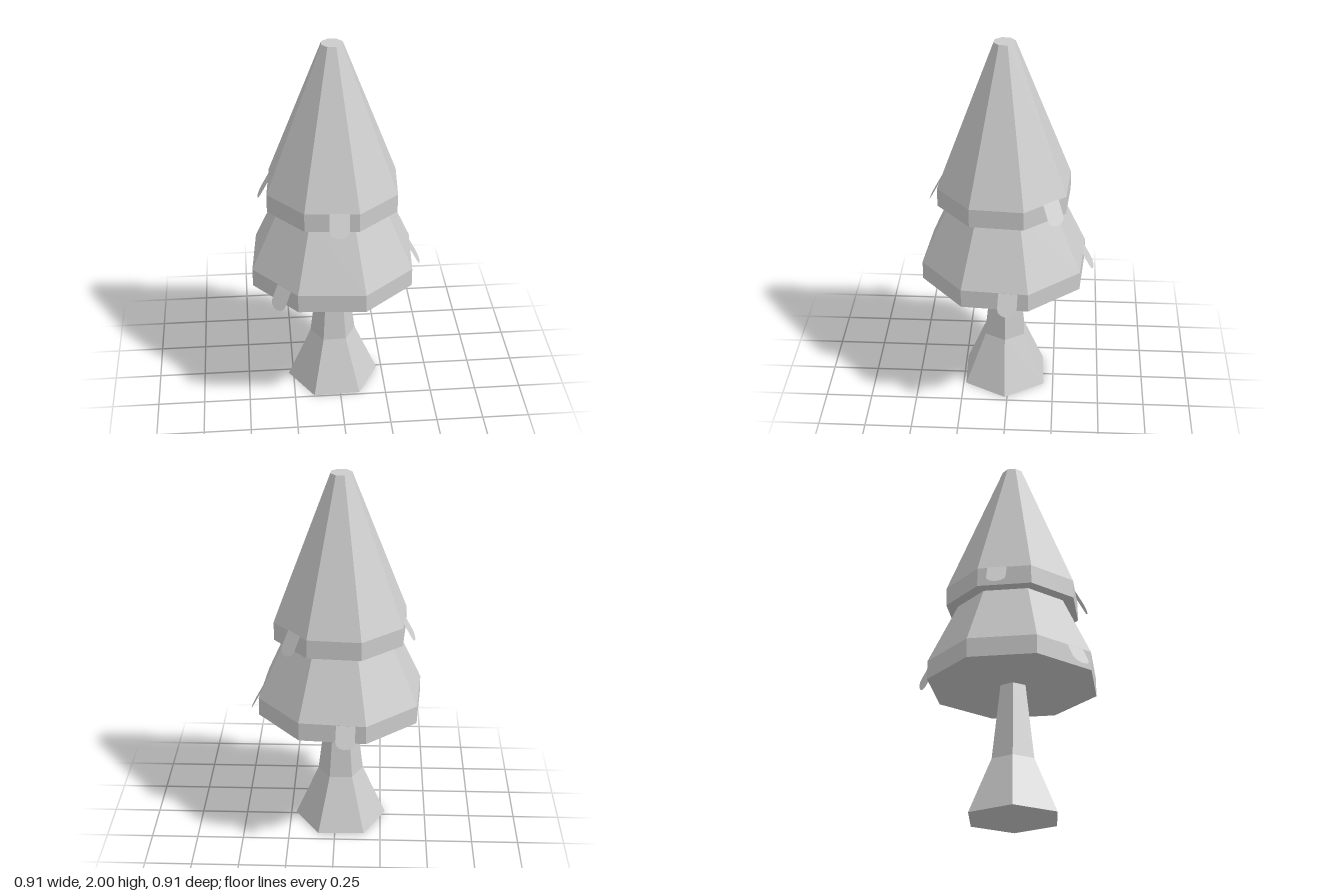
import * as THREE from 'three';

const CX = -0.027, CZ = 0.023; // trunk axis
const rad = THREE.MathUtils.degToRad;

export function createModel() {
  const tree = new THREE.Group();
  tree.name = 'tree';
  const grey = new THREE.MeshStandardMaterial({ color: 0xcccccc, flatShading: true, side: THREE.DoubleSide });
  grey.name = 'pale grey';

  // Faceted solid from [radius, height] rings, closed at both ends
  function faceted(name, rings, sides, startDeg) {
    const profile = [[0, rings[0][1]], ...rings, [0, rings[rings.length - 1][1]]]
      .map(([r, y]) => new THREE.Vector2(r, y));
    const geometry = new THREE.LatheGeometry(profile, sides, rad(startDeg)).toNonIndexed();
    geometry.computeVertexNormals();
    const mesh = new THREE.Mesh(geometry, grey);
    mesh.name = name;
    mesh.position.set(CX, 0, CZ);
    tree.add(mesh);
  }

  faceted('trunk', [[0.25, 0], [0.123, 0.295], [0.073, 0.71]], 6, 32);
  faceted('lowerBoughs', [[0.453, 0.7], [0.453, 0.8], [0.29, 1.15]], 8, 18);
  faceted('upperBoughs', [[0.362, 1.13], [0.362, 1.23], [0.057, 2]], 8, 18);

  // Round-ended leaf tongue hanging down from the origin
  const tongue = new THREE.Shape();
  tongue.moveTo(-0.05, 0.01);
  tongue.lineTo(-0.05, -0.085);
  tongue.bezierCurveTo(-0.045, -0.135, 0.045, -0.135, 0.05, -0.085);
  tongue.lineTo(0.05, 0.01);
  const tongueGeometry = new THREE.ShapeGeometry(tongue, 8);

  // Tongues: facing angle, sideways offset, distance from axis, height
  [
    [85.5, 0.07, 0.418, 0.8],
    [175.5, 0.07, 0.418, 0.8],
    [310.5, 0.07, 0.418, 0.8],
    [355.5, 0.037, 0.335, 1.23],
    [265.5, -0.037, 0.335, 1.23],
    [130.5, 0.037, 0.335, 1.23],
  ].forEach(([angle, offset, distance, height]) => {
    const pivot = new THREE.Group();
    pivot.name = 'leafTongue';
    pivot.position.set(CX, height, CZ);
    pivot.rotation.y = rad(angle);
    const leaf = new THREE.Mesh(tongueGeometry, grey);
    leaf.name = 'leaf';
    leaf.position.set(offset, 0, distance);
    leaf.rotation.x = -0.49;
    pivot.add(leaf);
    tree.add(pivot);
  });

  return tree;
}
